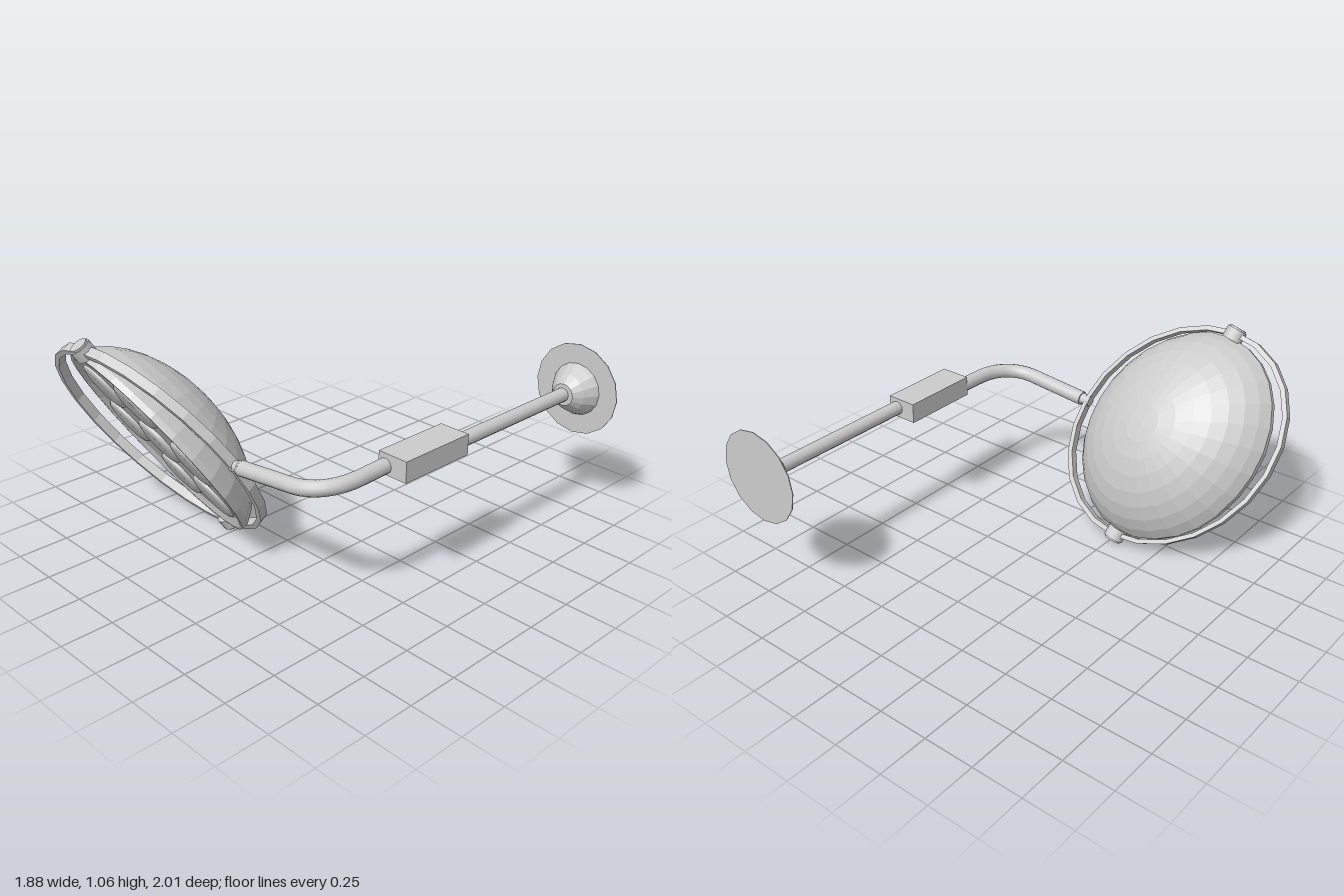
import * as THREE from 'three';

const V = (x, y, z) => new THREE.Vector3(x, y, z);
const material = (flat) => new THREE.MeshStandardMaterial({ color: 0xcccccc, flatShading: flat });

export function createModel() {
  const model = new THREE.Group();
  const add = (name, geometry, flat = false) => {
    const mesh = new THREE.Mesh(geometry, material(flat));
    mesh.name = name;
    model.add(mesh);
    return mesh;
  };
  const lathe = (pts, sides) =>
    new THREE.LatheGeometry(pts.map(([r, h]) => new THREE.Vector2(r, h)), sides);
  // Straight round bar between two points
  const bar = (name, a, b, r, sides = 12) => {
    const mesh = add(name, new THREE.CylinderGeometry(r, r, a.distanceTo(b), sides));
    mesh.position.copy(a).add(b).multiplyScalar(0.5);
    mesh.quaternion.setFromUnitVectors(V(0, 1, 0), b.clone().sub(a).normalize());
  };

  // Wall plate and boss
  const wall = add('wallPlate', new THREE.CylinderGeometry(0.228, 0.228, 0.004, 16), true);
  wall.rotation.x = Math.PI / 2;
  wall.position.set(0.713, 0.63, -0.998);
  const boss = add('wallBoss', lathe([[0.132, 0], [0.122, 0.02], [0.092, 0.07], [0.055, 0.11], [0, 0.11]], 16), true);
  boss.rotation.x = Math.PI / 2;
  boss.position.set(0.713, 0.63, -0.998);

  // Rod, joint block and bent arm
  bar('wallRod', V(0.711, 0.63, -0.9), V(0.708, 0.63, -0.1), 0.034);
  add('jointBlock', new THREE.BoxGeometry(0.157, 0.1, 0.397)).position.set(0.679, 0.63, 0.067);
  const path = new THREE.CurvePath();
  path.add(new THREE.LineCurve3(V(0.638, 0.622, 0.24), V(0.638, 0.617, 0.41)));
  path.add(new THREE.CubicBezierCurve3(V(0.638, 0.617, 0.41), V(0.638, 0.613, 0.54), V(0.57, 0.603, 0.63), V(0.45, 0.592, 0.63)));
  path.add(new THREE.LineCurve3(V(0.45, 0.592, 0.63), V(0.145, 0.56, 0.637)));
  add('bentArm', new THREE.TubeGeometry(path, 40, 0.036, 12));
  bar('armPivot', V(0.16, 0.562, 0.637), V(0.09, 0.556, 0.64), 0.028);
  bar('armEndCap', V(0.152, 0.561, 0.637), V(0.142, 0.56, 0.6372), 0.036);

  // Lamp directions: P runs to the upper pin, q sideways, the third out of the front
  const center = V(-0.405, 0.52, 0.66);
  const P = V(-0.125, 0.484, 0.295);
  const frame = (q, origin) => new THREE.Matrix4()
    .makeBasis(q, q.clone().cross(P).normalize(), P.clone().negate()).setPosition(origin);

  // Yoke ring
  const ring = lathe([[0.97, -0.024], [1.012, -0.024], [1.012, 0.024], [0.97, 0.024], [0.97, -0.024]], 24);
  add('yokeRing', ring.applyMatrix4(frame(V(0.515, 0.045, -0.015), center)), true);

  // Pivot pins at both ends of the tilt axis
  for (const s of [1, -1]) {
    const at = (k) => center.clone().addScaledVector(P, s * k);
    bar('pivotPin', at(0.93), at(1.03), 0.05, 16);
    bar('pivotPinCap', at(1.03), at(1.045), 0.042, 16);
  }

  // Domed lamp housing, turned about the pins, with a slightly hollow front
  const lamp = frame(V(0.512, 0.017, 0.085), V(-0.398, 0.52, 0.66));
  const profile = [], T = 1.28;
  for (let i = 0; i <= 8; i++) {
    const t = (i / 8) * T;
    profile.push([0.95 * Math.sin(t) / Math.sin(T), -0.285 * (Math.cos(t) - Math.cos(T)) / (1 - Math.cos(T))]);
  }
  profile.push([0.945, 0.03], [0.92, 0.03], [0.85, 0.012], [0, 0.002]);
  add('lampHousing', lathe(profile, 28).applyMatrix4(lamp), true);

  // Seven lenses: one in the middle and six around
  for (let i = 0; i < 7; i++) {
    const a = (i * Math.PI) / 3, r = i < 6 ? 0.6 : 0;
    const lens = lathe([[0.225, 0], [0.225, 0.016], [0.21, 0.024], [0.165, 0.03], [0, 0.032]], 24);
    lens.translate(r * Math.cos(a), 0, r * Math.sin(a));
    add('lens', lens.applyMatrix4(lamp));
  }
  return model;
}
